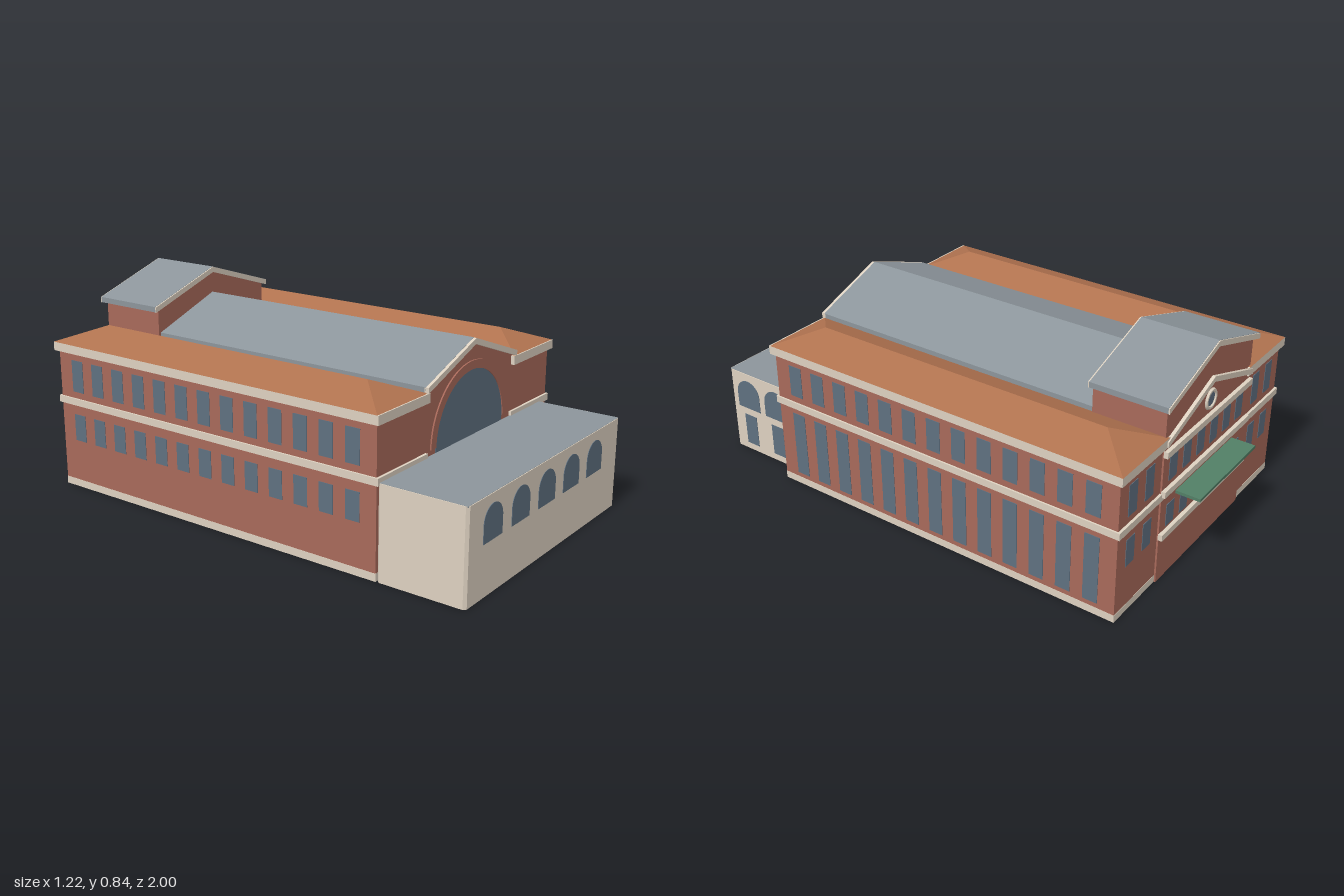
import * as THREE from 'three';

const mat = (color) => new THREE.MeshStandardMaterial({ color, side: THREE.DoubleSide, flatShading: true });
const BRICK = mat(0xa8695a), STONE = mat(0xddd1c0), GLASS = mat(0x5f7080);
const SLATE = mat(0x8c959b), TILE = mat(0xb0724f), GREEN = mat(0x527f66);

function add(parent, name, geometry, material) {
  const mesh = new THREE.Mesh(geometry, material);
  mesh.name = name;
  parent.add(mesh);
  return mesh;
}

function box(parent, name, [x0, x1], [y0, y1], [z0, z1], material) {
  const g = new THREE.BoxGeometry(x1 - x0, y1 - y0, z1 - z0);
  g.translate((x0 + x1) / 2, (y0 + y1) / 2, (z0 + z1) / 2);
  return add(parent, name, g, material);
}

// Extrude a shape drawn in x,y from z0 to z1
function slab(parent, name, shape, z0, z1, material) {
  const g = new THREE.ExtrudeGeometry(shape, { depth: z1 - z0, bevelEnabled: false, curveSegments: 24 });
  return add(parent, name, g.translate(0, 0, z0), material);
}

const polygon = (pts) => new THREE.Shape(pts.map(([x, y]) => new THREE.Vector2(x, y)));

// Plan rectangle with optional cut corners
const plan = (x0, x1, z0, z1, c) => c
  ? [[x0 + c, z0], [x1 - c, z0], [x1, z0 + c], [x1, z1 - c], [x1 - c, z1], [x0 + c, z1], [x0, z1 - c], [x0, z0 + c]]
  : [[x0, z0], [x1, z0], [x1, z1], [x0, z1]];

// Hollow four-sided wall or band, open above and below
function ring(parent, name, [x0, x1], [y0, y1], [z0, z1], t, material, cut = 0) {
  const shape = polygon(plan(x0, x1, -z1, -z0, cut));
  shape.holes.push(polygon(plan(x0 + t, x1 - t, -z1 + t, -z0 - t, cut)));
  const g = new THREE.ExtrudeGeometry(shape, { depth: y1 - y0, bevelEnabled: false });
  return add(parent, name, g.rotateX(-Math.PI / 2).translate(0, y0, 0), material);
}

// Inverted V used for gable roofs and raking trim
const chevron = (w, eave, peak, t) =>
  polygon([[-w, eave - t], [0, peak - t], [w, eave - t], [w, eave], [0, peak], [-w, eave]]);
const gable = (w, eave, peak) => polygon([[-w, 0], [w, 0], [w, eave], [0, peak], [-w, eave]]);

// Window pane: rectangle or round-headed, standing on y = 0
function paneShape(w, h, arched) {
  const r = w / 2, s = new THREE.Shape();
  s.moveTo(-r, 0);
  s.lineTo(r, 0);
  if (arched) {
    s.lineTo(r, h - r);
    s.absarc(0, h - r, r, 0, Math.PI, false);
  } else {
    s.lineTo(r, h);
    s.lineTo(-r, h);
  }
  return s;
}

// Pane on a wall; angle turns it to face +z (0), +x (PI/2), -z (PI) or -x (-PI/2)
function pane(parent, name, x, y, z, w, h, angle, arched = false) {
  const m = slab(parent, name, paneShape(w, h, arched), 0, 0.002, GLASS);
  m.position.set(x, y, z);
  m.rotation.y = angle;
}

function hipRoof(parent, s) {
  const [a, b, c, d] = [[0.305, 0.6, 0.655], [0.61, 0.6, 0.655], [0.61, 0.6, -0.91], [0.305, 0.6, -0.91]];
  const e = [0.455, 0.66, 0.505], f = [0.455, 0.66, -0.755];
  const tris = [a, b, e, b, c, f, b, f, e, c, d, f, d, a, e, d, e, f];
  if (s < 0) tris.reverse();
  const g = new THREE.BufferGeometry();
  g.setAttribute('position', new THREE.Float32BufferAttribute(tris.flatMap(([x, y, z]) => [s * x, y, z]), 3));
  g.computeVertexNormals();
  add(parent, 'hippedRoof', g, TILE);
}

function wing(root, s) {
  const g = new THREE.Group();
  g.name = s > 0 ? 'leftWing' : 'rightWing';
  root.add(g);
  const span = (a, b) => (s > 0 ? [a, b] : [-b, -a]);
  ring(g, 'wingWalls', span(0.31, 0.595), [0.03, 0.57], [-0.895, 0.645], 0.006, BRICK);
  ring(g, 'plinth', span(0.31, 0.596), [0, 0.03], [-0.896, 0.646], 0.008, STONE);
  ring(g, 'beltCourse', span(0.297, 0.602), [0.35, 0.378], [-0.905, 0.655], 0.02, STONE);
  ring(g, 'cornice', span(0.297, 0.61), [0.565, 0.6], [-0.91, 0.66], 0.03, STONE);
  hipRoof(g, s);
  // Long side windows
  for (let i = 0; i < 13; i++) {
    const z = 0.547 - i * 0.112;
    pane(g, 'upperWindow', s * 0.595, 0.405, z, 0.06, 0.13, s * Math.PI / 2);
    if (s > 0) pane(g, 'tallWindow', 0.595, 0.05, z, 0.06, 0.275, Math.PI / 2);
    else pane(g, 'lowerWindow', -0.595, 0.2, z, 0.06, 0.11, -Math.PI / 2);
  }
  // Rear windows
  for (const x of [0.4, 0.51]) {
    pane(g, 'rearUpperWindow', s * x, 0.405, -0.895, 0.055, 0.125, Math.PI);
    pane(g, 'rearLowerWindow', s * x, 0.2, -0.895, 0.055, 0.11, Math.PI);
  }
}

function centralHall(root) {
  const g = new THREE.Group();
  g.name = 'centralHall';
  root.add(g);
  slab(g, 'frontFacade', gable(0.31, 0.61, 0.72), 0.639, 0.645, BRICK);
  for (const s of [-1, 1]) box(g, 'hallSideWall', [s * 0.307 - 0.003, s * 0.307 + 0.003], [0, 0.61], [-0.61, 0.64], BRICK);
  slab(g, 'hallRoof', chevron(0.312, 0.622, 0.735, 0.02), -0.61, 0.65, SLATE);
  slab(g, 'frontRakeTrim', chevron(0.312, 0.622, 0.734, 0.022), 0.645, 0.662, STONE);
  // Great round-headed window and its brick surround
  pane(g, 'greatWindow', 0, 0.35, 0.645, 0.47, 0.265, 0, true);
  const arch = new THREE.Shape();
  arch.absarc(0, 0.38, 0.268, 0, Math.PI, false);
  arch.absarc(0, 0.38, 0.235, Math.PI, 0, true);
  slab(g, 'windowSurround', arch, 0.645, 0.651, BRICK);
}

function rearPavilion(root) {
  const g = new THREE.Group();
  g.name = 'rearPavilion';
  root.add(g);
  slab(g, 'rearGableWall', gable(0.32, 0.715, 0.82), -0.902, -0.896, BRICK);
  slab(g, 'innerGableWall', gable(0.32, 0.715, 0.82), -0.618, -0.612, BRICK);
  for (const s of [-1, 1]) box(g, 'pavilionSideWall', [s * 0.317 - 0.003, s * 0.317 + 0.003], [0, 0.715], [-0.9, -0.614], BRICK);
  slab(g, 'pavilionRoof', chevron(0.34, 0.732, 0.842, 0.022), -0.916, -0.608, SLATE);
  for (const z of [-0.92, -0.608]) slab(g, 'rakeTrim', chevron(0.34, 0.731, 0.841, 0.022), z, z + 0.005, STONE);
  // Pediment, belts and round window on the rear face
  slab(g, 'pedimentTrim', chevron(0.32, 0.59, 0.7, 0.022), -0.915, -0.902, STONE);
  for (const y of [0.185, 0.365, 0.525]) box(g, 'rearBelt', [-0.322, 0.322], [y, y + 0.025], [-0.917, -0.9], STONE);
  const rim = new THREE.TorusGeometry(0.034, 0.008, 6, 28).translate(0, 0.607, -0.903);
  add(g, 'roundWindowFrame', rim, STONE);
  const disc = new THREE.CylinderGeometry(0.032, 0.032, 0.004, 28).rotateX(Math.PI / 2).translate(0, 0.607, -0.903);
  add(g, 'roundWindow', disc, GLASS);
  for (let i = 0; i < 6; i++) {
    const x = -0.25 + i * 0.1;
    pane(g, 'rearUpperWindow', x, 0.41, -0.902, 0.055, 0.1, Math.PI);
    pane(g, 'rearLowerWindow', x, 0.22, -0.902, 0.055, 0.09, Math.PI);
  }
  box(g, 'canopy', [-0.217, 0.217], [0.326, 0.338], [-1, -0.9], GREEN);
}

function frontAnnex(root) {
  const g = new THREE.Group();
  g.name = 'frontAnnex';
  root.add(g);
  ring(g, 'annexWalls', [-0.595, 0.53], [0, 0.355], [0.648, 0.998], 0.006, STONE, 0.01);
  ring(g, 'annexRoof', [-0.595, 0.53], [0.355, 0.36], [0.648, 0.998], 0.006, STONE, 0.01);
  box(g, 'annexRoofSheet', [-0.592, 0.527], [0.356, 0.361], [0.648, 0.995], SLATE);
  for (let i = 0; i < 5; i++) pane(g, 'archedWindow', -0.433 + i * 0.189, 0.195, 0.998, 0.125, 0.13, 0, true);
  for (const z of [0.9, 0.747]) {
    pane(g, 'sideArchedWindow', 0.53, 0.2, z, 0.122, 0.128, Math.PI / 2, true);
    pane(g, 'sideDoor', 0.53, 0.03, z, 0.065, 0.138, Math.PI / 2);
  }
}

export function createModel() {
  const root = new THREE.Group();
  root.name = 'marketHall';
  wing(root, 1);
  wing(root, -1);
  centralHall(root);
  rearPavilion(root);
  frontAnnex(root);
  return root;
}
